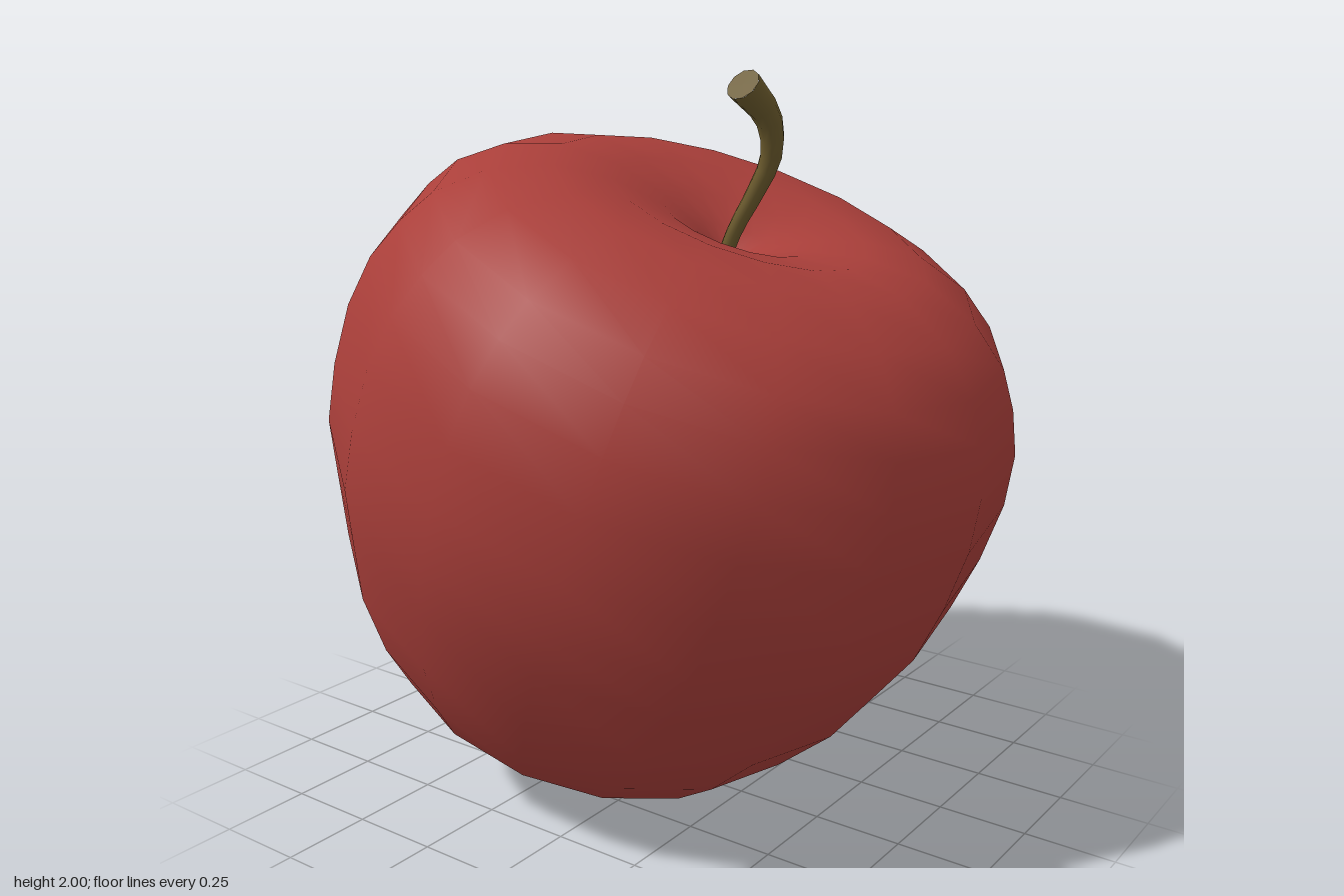
import * as THREE from 'three';

const red = new THREE.MeshStandardMaterial({ name: 'apple red', color: 0xaa3f3a });
const brown = new THREE.MeshStandardMaterial({ name: 'stem brown', color: 0x6c5b2d });

function part(name, geometry, material) {
  const mesh = new THREE.Mesh(geometry, material);
  mesh.name = name;
  return mesh;
}

// Fruit skin: radius and height along the core, from lower dimple to stem hollow
function makeSkin() {
  const profile = [
    [0, -0.88], [0.1, -0.885], [0.18, -0.935], [0.294, -0.954], [0.465, -0.89],
    [0.575, -0.81], [0.68, -0.68], [0.785, -0.5], [0.855, -0.3], [0.905, -0.155],
    [0.922, 0.015], [0.92, 0.19], [0.892, 0.335], [0.839, 0.45], [0.776, 0.543],
    [0.663, 0.63], [0.508, 0.688], [0.35, 0.69], [0.2, 0.655], [0.1, 0.61],
    [0.045, 0.575], [0, 0.54],
  ].map(([r, y]) => new THREE.Vector2(r, y));
  return part('skin', new THREE.LatheGeometry(profile, 16), red);
}

// Five-pointed calyx set flat in the lower dimple
function makeCalyx() {
  const star = new THREE.Shape();
  for (let i = 0; i < 10; i++) {
    const r = i % 2 ? 0.055 : 0.1;
    const a = Math.PI + (i * Math.PI) / 5;
    star[i ? 'lineTo' : 'moveTo'](r * Math.cos(a), r * Math.sin(a));
  }
  star.closePath();
  const calyx = part('calyx', new THREE.ShapeGeometry(star), brown);
  calyx.rotation.x = Math.PI / 2;
  calyx.position.y = -0.9;
  return calyx;
}

// Bent stem that widens towards its cut end
function makeStem() {
  const path = new THREE.CatmullRomCurve3([
    [0, 1.5, 0.165], [0, 1.6, 0.21], [0.003, 1.7, 0.27],
    [-0.003, 1.79, 0.318], [-0.045, 1.885, 0.335], [-0.147, 1.968, 0.325],
  ].map((p) => new THREE.Vector3(...p)));
  const rings = 12, sides = 10, endRadius = 0.045;
  const tube = new THREE.TubeGeometry(path, rings, endRadius, sides);
  const pos = tube.attributes.position;
  const v = new THREE.Vector3();
  for (let i = 0; i < pos.count; i++) {
    const t = Math.floor(i / (sides + 1)) / rings;
    const centre = path.getPointAt(t);
    v.fromBufferAttribute(pos, i).sub(centre).multiplyScalar(0.44 + 0.56 * t * t).add(centre);
    pos.setXYZ(i, v.x, v.y, v.z);
  }
  const stem = new THREE.Group();
  stem.name = 'stem';
  const cap = part('stemEnd', new THREE.CircleGeometry(endRadius, sides), brown);
  cap.position.copy(path.getPointAt(1));
  cap.quaternion.setFromUnitVectors(new THREE.Vector3(0, 0, 1), path.getTangentAt(1));
  stem.add(part('stemShaft', tube, brown), cap);
  return stem;
}

export function createModel() {
  const model = new THREE.Group();
  model.name = 'apple';

  // The fruit leans forward
  const fruit = new THREE.Group();
  fruit.name = 'fruit';
  fruit.rotation.x = THREE.MathUtils.degToRad(21);
  fruit.position.set(0, 1.002, -0.018);
  fruit.add(makeSkin(), makeCalyx());

  model.add(fruit, makeStem());
  return model;
}
